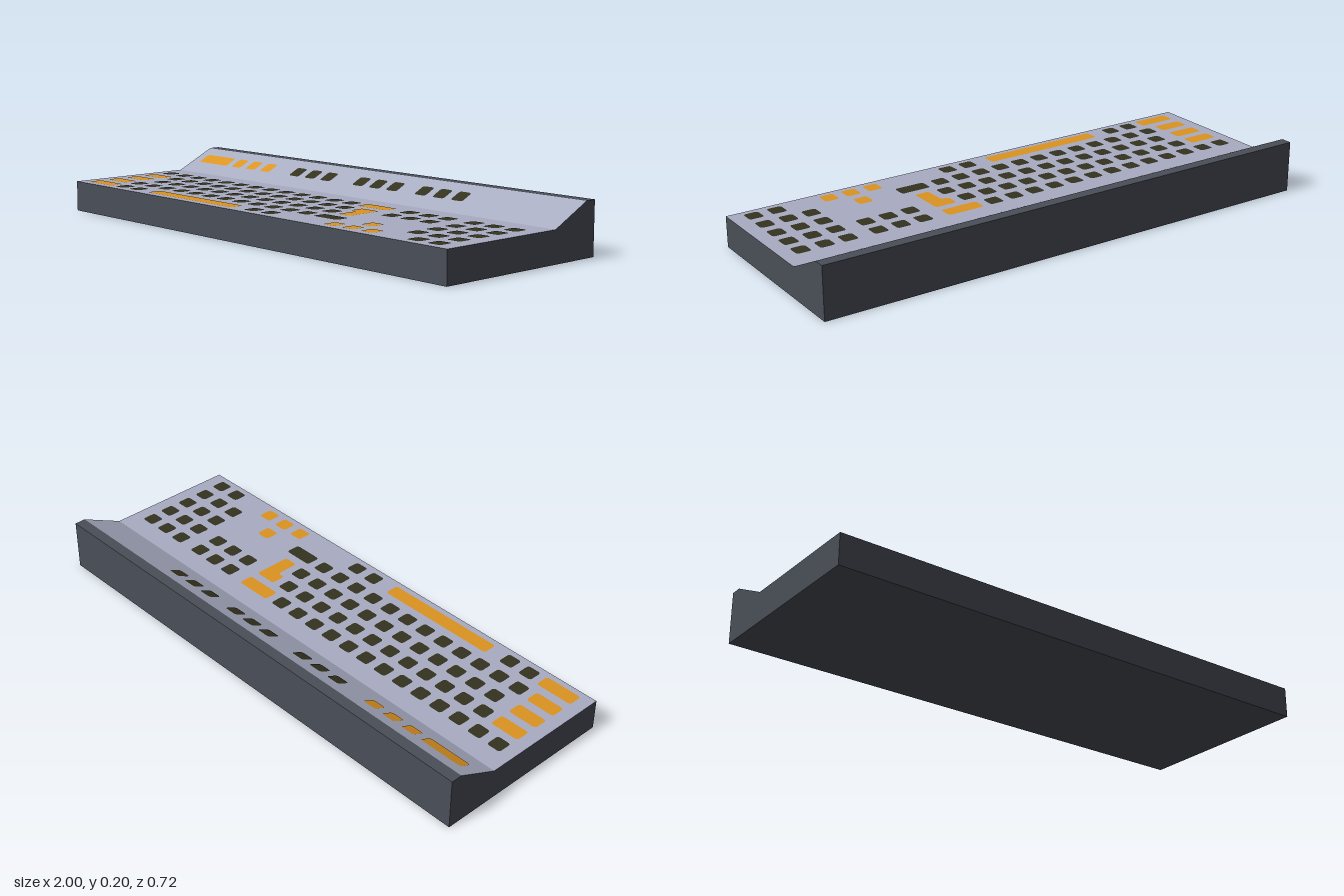
import * as THREE from 'three';

const WIDTH = 2, DECK_Y = 0.117, TOP_Y = 0.196, KEY = 0.056, PITCH = 0.0893;
const FRONT_Z = 0.36, SLOPE_Z = -0.157, LEDGE_Z = -0.317;
const material = (name, color) => {
  const m = new THREE.MeshStandardMaterial({ color });
  m.name = name;
  return m;
};

// Rounded outline from polygon corners
function roundedShape(corners, r = 0.012) {
  const pts = corners.map(([x, y]) => new THREE.Vector2(x, y));
  const shape = new THREE.Shape();
  pts.forEach((p, i) => {
    const prev = pts[(i + pts.length - 1) % pts.length], next = pts[(i + 1) % pts.length];
    const a = p.clone().add(prev.clone().sub(p).setLength(r));
    const b = p.clone().add(next.clone().sub(p).setLength(r));
    if (i === 0) shape.moveTo(a.x, a.y); else shape.lineTo(a.x, a.y);
    shape.quadraticCurveTo(p.x, p.y, b.x, b.y);
  });
  shape.closePath();
  return shape;
}

export function createModel() {
  const model = new THREE.Group();
  model.name = 'keyboard';
  const charcoal = material('charcoal case', 0x4a4f58);
  const lavender = material('lavender deck', 0xa9adc2);
  const orange = material('orange keys', 0xdc9422);
  const dark = material('dark keys', 0x343320);

  // Case: side profile extruded across the width
  const profile = new THREE.Shape([
    [FRONT_Z, 0], [-FRONT_Z, 0], [-FRONT_Z, TOP_Y], [LEDGE_Z, TOP_Y], [SLOPE_Z, DECK_Y], [FRONT_Z, DECK_Y],
  ].map(([z, y]) => new THREE.Vector2(-z, y)));
  const geo = new THREE.ExtrudeGeometry(profile, { depth: WIDTH, bevelEnabled: false });
  geo.rotateY(Math.PI / 2).translate(-WIDTH / 2, 0, 0);

  // Deck and slope faces get the second colour
  const pos = geo.attributes.position, nor = geo.attributes.normal;
  geo.clearGroups();
  for (let i = 0; i < pos.count; i += 3) {
    const z = (pos.getZ(i) + pos.getZ(i + 1) + pos.getZ(i + 2)) / 3;
    geo.addGroup(i, 3, nor.getY(i) > 0.5 && z > LEDGE_Z + 0.001 ? 1 : 0);
  }
  const body = new THREE.Mesh(geo, [charcoal, lavender]);
  body.name = 'case';
  model.add(body);

  // Key panels lie just above the deck and the slope
  const deckKeys = new THREE.Group();
  deckKeys.name = 'deckKeys';
  deckKeys.rotation.x = -Math.PI / 2;
  deckKeys.position.y = DECK_Y + 0.0015;
  const slopeKeys = new THREE.Group();
  slopeKeys.name = 'slopeKeys';
  const tilt = Math.atan2(TOP_Y - DECK_Y, SLOPE_Z - LEDGE_Z);
  slopeKeys.rotation.x = tilt - Math.PI / 2;
  slopeKeys.position.set(0, (TOP_Y + DECK_Y) / 2 + 0.0015, (SLOPE_Z + LEDGE_Z) / 2 + 0.0008);
  model.add(deckKeys, slopeKeys);

  const addShape = (group, name, corners, mat) => {
    const mesh = new THREE.Mesh(new THREE.ShapeGeometry(roundedShape(corners), 4), mat);
    mesh.name = name;
    group.add(mesh);
  };
  const bar = (group, name, x0, x1, z, mat) => {
    const a = -z - KEY / 2, b = -z + KEY / 2;
    addShape(group, name, [[x0, a], [x1, a], [x1, b], [x0, b]], mat);
  };
  const run = (group, name, x, z, count, mat) => {
    for (let i = 0; i < count; i++) {
      const c = x + i * PITCH;
      bar(group, name, c - KEY / 2, c + KEY / 2, z, mat);
    }
  };

  // Main letter rows
  const rows = [-0.05, 0.038, 0.127, 0.217, 0.307];
  run(deckKeys, 'numberKey', -0.923, rows[0], 13, dark);
  run(deckKeys, 'letterKey', -0.775, rows[1], 12, dark);
  run(deckKeys, 'letterKey', -0.745, rows[2], 12, dark);
  run(deckKeys, 'letterKey', -0.775, rows[3], 12, dark);
  run(deckKeys, 'modifierKey', -0.745, rows[4], 2, dark);
  run(deckKeys, 'modifierKey', 0.029, rows[4], 2, dark);

  // Wide keys
  for (const i of [1, 2, 3]) bar(deckKeys, 'leftWideKey', -0.952, -0.834, rows[i], orange);
  bar(deckKeys, 'leftCornerKey', -0.952, -0.802, rows[4], orange);
  bar(deckKeys, 'spaceBar', -0.561, -0.066, rows[4], orange);
  bar(deckKeys, 'backKey', 0.208, 0.353, rows[0], orange);
  bar(deckKeys, 'rightWideKey', 0.267, 0.385, rows[3], dark);
  const top = -rows[1] + KEY / 2, step = -rows[1] - KEY / 2, low = -rows[2] - KEY / 2;
  addShape(deckKeys, 'enterKey',
    [[0.267, top], [0.267, step], [0.297, step], [0.297, low], [0.353, low], [0.353, top]].reverse(), orange);

  // Navigation block and arrows
  for (const i of [0, 1]) run(deckKeys, 'navigationKey', 0.443, rows[i], 3, dark);
  run(deckKeys, 'upArrowKey', 0.532, rows[3], 1, orange);
  run(deckKeys, 'arrowKey', 0.443, rows[4], 3, orange);

  // Number pad
  for (const i of [0, 1, 2, 3]) run(deckKeys, 'padKey', 0.74, rows[i], 3, dark);
  run(deckKeys, 'padKey', 0.829, rows[4], 2, dark);

  // Function row on the slope
  bar(slopeKeys, 'escapeKey', -0.952, -0.775, -0.01, orange);
  run(slopeKeys, 'functionKey', -0.715, -0.01, 3, orange);
  for (const x of [-0.358, 0, 0.325]) run(slopeKeys, 'functionKey', x, -0.01, 3, dark);

  return model;
}
